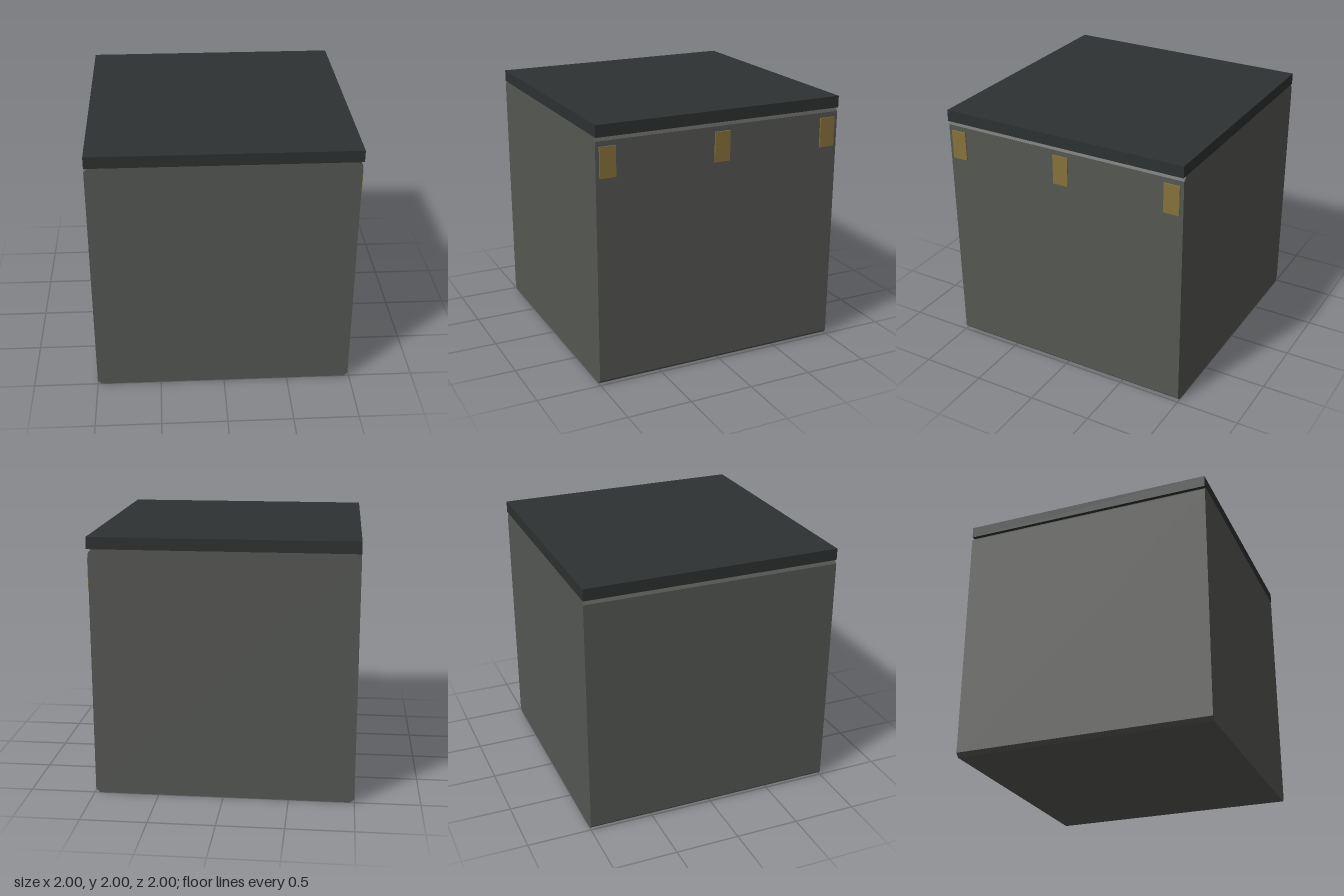
import * as THREE from 'three';

const material = (color) => new THREE.MeshStandardMaterial({ color, flatShading: true });

export function createModel() {
  const model = new THREE.Group();
  model.name = 'box';
  const add = (name, geometry, mat, x, y, z) => {
    const mesh = new THREE.Mesh(geometry, mat);
    mesh.name = name;
    mesh.position.set(x, y, z);
    model.add(mesh);
  };

  // Body: chamfered cross-section running front to back
  const left = -1, right = 0.99, top = 1.91, c = 0.03;
  const section = new THREE.Shape([
    [left + c, 0], [right - c, 0], [right, c], [right, top - c],
    [right - c, top], [left + c, top], [left, top - c], [left, c],
  ].map(([x, y]) => new THREE.Vector2(x, y)));
  const body = new THREE.ExtrudeGeometry(section, { depth: 2, bevelEnabled: false });
  add('body', body, material(0x555753), 0, 0, -1);

  // Flat lid
  add('lid', new THREE.BoxGeometry(2, 0.09, 2), material(0x2e3131), 0, 1.955, 0);

  // Three thin plates along one side
  const plate = new THREE.BoxGeometry(0.02, 0.23, 0.125);
  const brass = material(0x86723a);
  for (const z of [-0.91, 0, 0.91]) add('hingePlate', plate, brass, 0.99, 1.725, z);

  return model;
}
